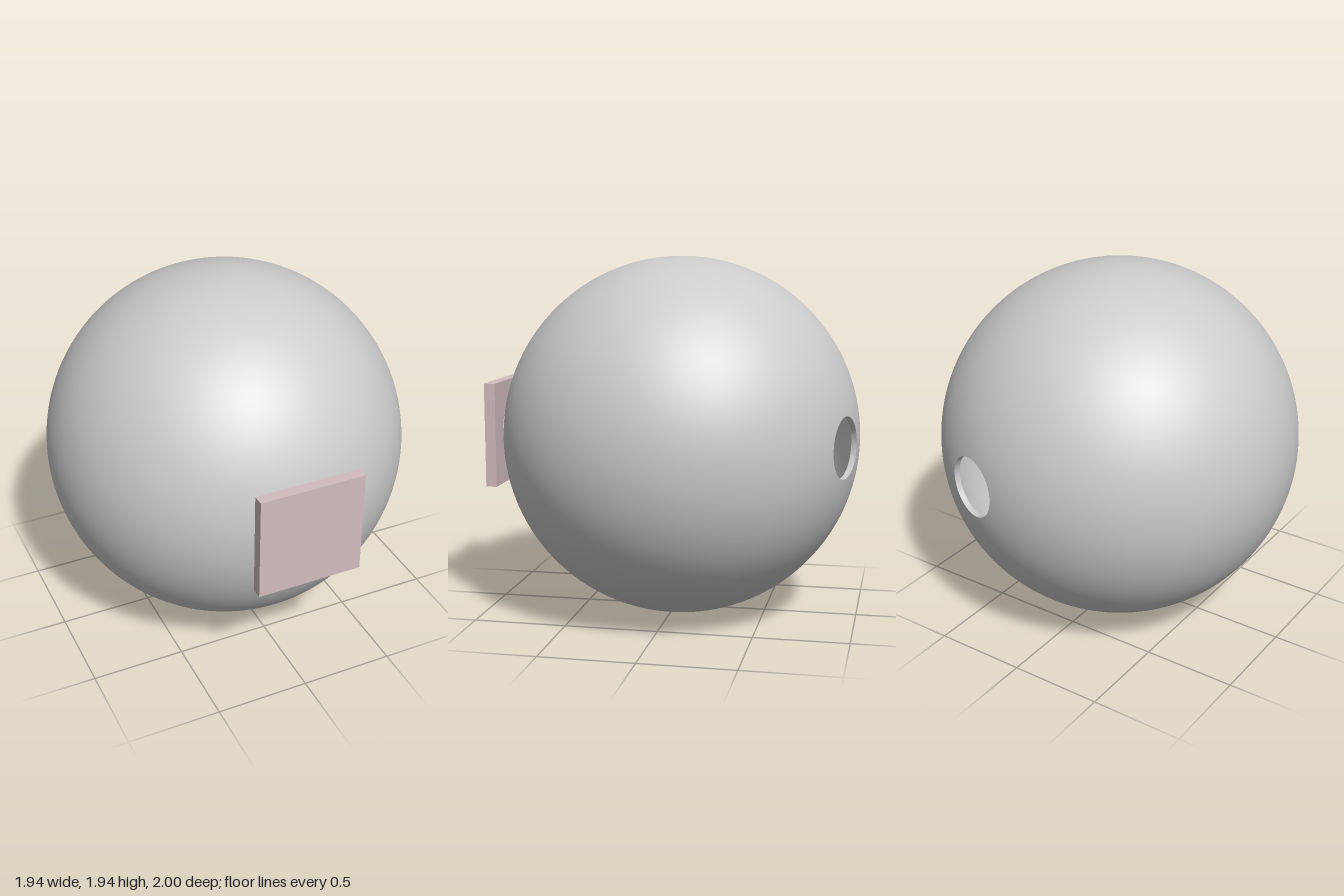
import * as THREE from 'three';

const R = 0.968;        // outer radius of the ball
const WALL = 0.03;      // shell thickness
const HOLE = 0.163;     // radius of the round opening
const CENTRE = new THREE.Vector3(0, R, R - 1);

export function createModel() {
  const model = new THREE.Group();
  const grey = new THREE.MeshStandardMaterial({ color: 0xcccccc });
  const inside = new THREE.MeshStandardMaterial({ color: 0xcccccc, side: THREE.BackSide });
  const open = new THREE.MeshStandardMaterial({ color: 0xcccccc, side: THREE.DoubleSide });
  const pink = new THREE.MeshStandardMaterial({ color: 0xd2bcbe });

  const add = (parent, name, geometry, material) => {
    const mesh = new THREE.Mesh(geometry, material);
    mesh.name = name;
    parent.add(mesh);
    return mesh;
  };

  // Hollow ball, built around the axis of its opening
  const ball = new THREE.Group();
  ball.name = 'ball';
  ball.position.copy(CENTRE);
  const angle = THREE.MathUtils.degToRad(17.5);
  const axis = new THREE.Vector3(Math.sin(angle), 0, -Math.cos(angle));
  ball.quaternion.setFromUnitVectors(new THREE.Vector3(0, 1, 0), axis);
  model.add(ball);

  const skin = (radius) => {
    const start = Math.asin(HOLE / radius);
    return new THREE.SphereGeometry(radius, 128, 96, 0, Math.PI * 2, start, Math.PI - start);
  };
  add(ball, 'outerShell', skin(R), grey);
  add(ball, 'innerShell', skin(R - WALL), inside);

  // Wall of the opening, joining both skins
  const rim = [R - WALL, R].map((r) => new THREE.Vector2(HOLE, Math.sqrt(r * r - HOLE * HOLE)));
  add(ball, 'openingRim', new THREE.LatheGeometry(rim, 128), open);

  // Short round neck between ball and plate
  const neck = add(model, 'neck', new THREE.CylinderGeometry(HOLE, HOLE, 0.045, 64), grey);
  neck.rotation.x = Math.PI / 2;
  neck.position.set(0, R, 0.9225);

  // Square mounting plate on the front
  const plate = add(model, 'mountingPlate', new THREE.BoxGeometry(0.565, 0.565, 0.06), pink);
  plate.position.set(0, R + 0.004, 0.97);

  return model;
}
